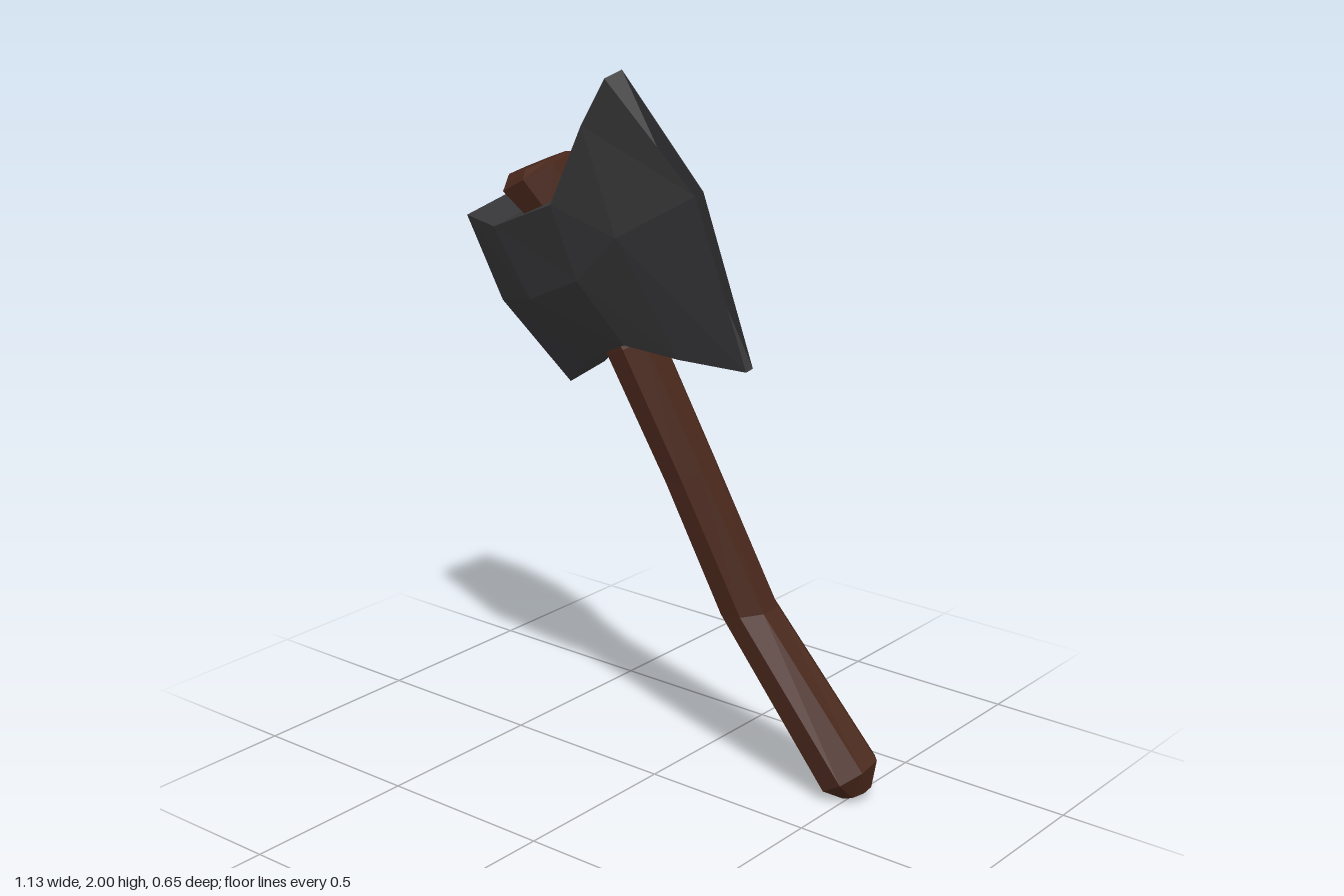
import * as THREE from 'three';

// Skins a closed, flat-shaded solid over rings that run counterclockwise about the travel direction.
function loft(rings, color, name) {
  const pos = [];
  const tri = (...pts) => pts.forEach((p) => pos.push(p.x, p.y, p.z));
  const n = rings[0].length;
  const centre = (r) => r.reduce((s, p) => s.add(p), new THREE.Vector3()).divideScalar(n);
  const first = rings[0], last = rings[rings.length - 1];
  const c0 = centre(first), c1 = centre(last);
  for (let i = 0; i < n; i++) {
    const j = (i + 1) % n;
    for (let k = 0; k < rings.length - 1; k++) {
      const a = rings[k], b = rings[k + 1];
      tri(a[i], a[j], b[j]);
      tri(a[i], b[j], b[i]);
    }
    tri(c0, first[j], first[i]);
    tri(c1, last[i], last[j]);
  }
  const geo = new THREE.BufferGeometry();
  geo.setAttribute('position', new THREE.Float32BufferAttribute(pos, 3));
  geo.computeVertexNormals();
  const mesh = new THREE.Mesh(geo, new THREE.MeshStandardMaterial({ color, flatShading: true }));
  mesh.name = name;
  return mesh;
}

// Bent eight-sided shaft, from the rounded butt to the flared top: x, y, z, radius, pull of the ring towards level
function makeHandle() {
  const path = [
    [0.51, 0.03, -0.24, 0.045, 0],
    [0.49, 0.08, -0.232, 0.091, 0],
    [0.205, 0.52, -0.147, 0.084, 3],
    [0.08, 0.91, -0.05, 0.077, 0],
    [-0.04, 1.26, 0.04, 0.08, 0],
    [-0.23, 1.6, 0.1, 0.09, 0],
    [-0.283, 1.69, 0.12, 0.116, 0],
    [-0.291, 1.71, 0.123, 0.085, 0],
  ];
  const pts = path.map((p) => new THREE.Vector3(p[0], p[1], p[2]));
  const rings = pts.map((c, k) => {
    const t = pts[Math.min(k + 1, pts.length - 1)].clone().sub(pts[Math.max(k - 1, 0)]).normalize();
    t.y += path[k][4];
    t.normalize();
    const p = new THREE.Vector3(1, 0, 0).addScaledVector(t, -t.x).normalize();
    const q = t.clone().cross(p);
    return Array.from({ length: 8 }, (_, i) => {
      const a = ((i + 0.5) / 8) * Math.PI * 2;
      return c.clone()
        .addScaledVector(p, Math.cos(a) * path[k][3])
        .addScaledVector(q, Math.sin(a) * path[k][3]);
    });
  });
  return loft(rings, 0x4a281c, 'handle');
}

// Head: six-sided sections from the blunt poll, over the thick eye, to the flared cutting edge
function makeHead() {
  const origin = new THREE.Vector3(-0.14, 1.45, 0.07);
  const along = new THREE.Vector3(0.865, 0.367, 0.344).normalize();
  const side = along.clone().cross(new THREE.Vector3(-0.375, 0.904, 0.207)).normalize();
  const up = side.clone().cross(along);
  const at = ([l, u, front], s) => origin.clone()
    .addScaledVector(along, l).addScaledVector(up, u).addScaledVector(side, s ?? front);
  // top, middle and bottom of each section: position along, height, front offset, back offset
  const sections = [
    [[-0.325, 0.267, 0.105, -0.09], [-0.355, 0.02, 0.115, -0.05], [-0.33, -0.262, 0.06, -0.06]],
    [[-0.17, 0.21, 0.125, -0.122], [-0.13, 0, 0.15, -0.12], [-0.12, -0.21, 0.09, -0.085]],
    [[0.17, 0.2, 0.122, -0.122], [0.14, 0, 0.14, -0.115], [0.14, -0.2, 0.105, -0.075]],
    [[0.38, 0.34, 0.055, -0.07], [0.354, 0.06, 0.1, -0.085], [0.28, -0.285, 0.06, -0.05]],
    [[0.51, 0.412, 0.012, -0.042], [0.61, 0.07, -0.004, -0.03], [0.435, -0.378, -0.008, -0.03]],
  ];
  const rings = sections.map(([top, mid, bottom]) => [
    at(top), at(mid), at(bottom), at(bottom, bottom[3]), at(mid, mid[3]), at(top, top[3]),
  ]);
  return loft(rings, 0x38383a, 'axeHead');
}

export function createModel() {
  const model = new THREE.Group();
  model.name = 'axe';
  model.add(makeHandle(), makeHead());
  return model;
}
